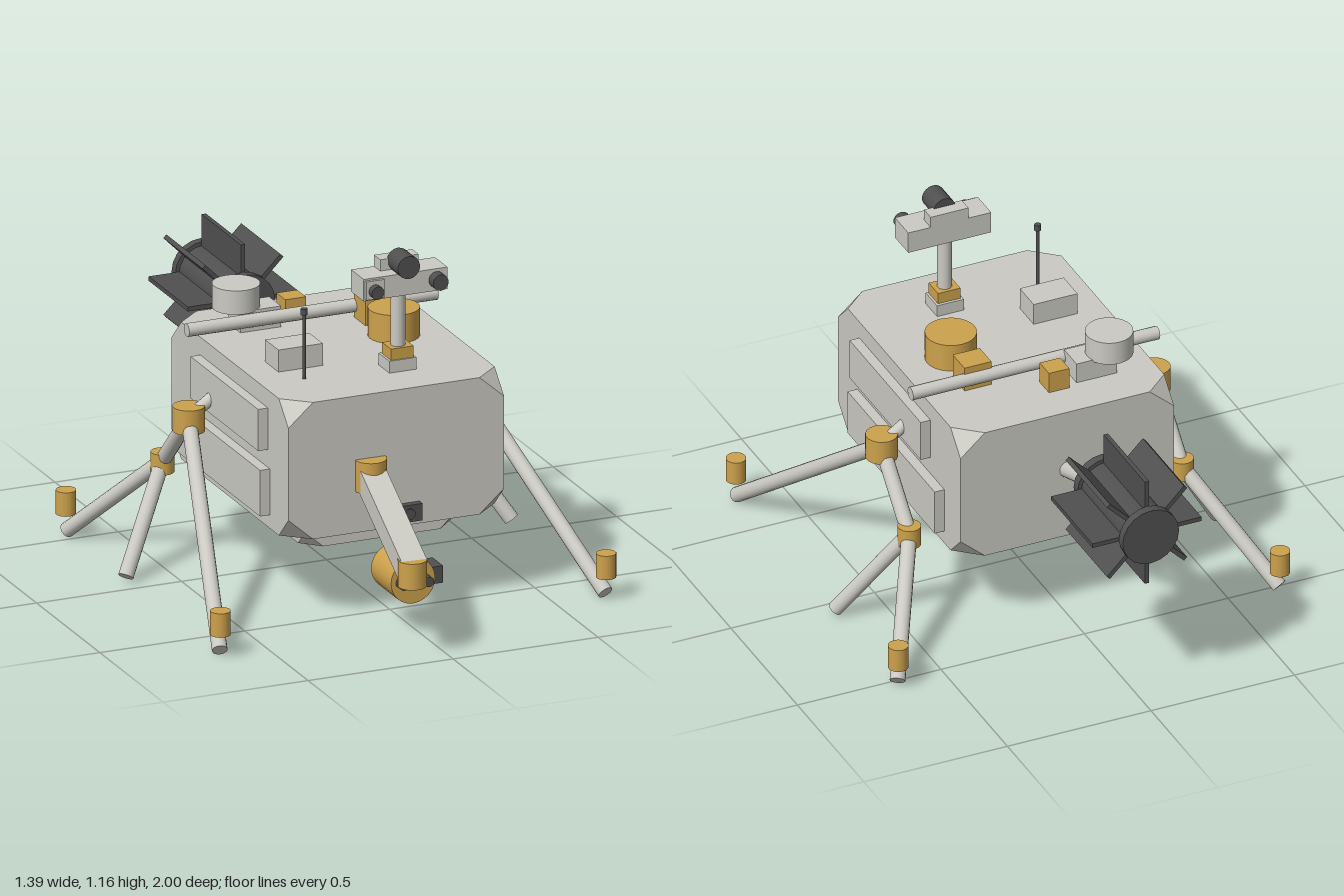
import * as THREE from 'three';
import { ConvexGeometry } from 'three/addons/geometries/ConvexGeometry.js';

const mat = (name, color) => {
  const m = new THREE.MeshStandardMaterial({ color });
  m.name = name;
  return m;
};

export function createModel() {
  const root = new THREE.Group();
  root.name = 'rover';
  const grey = mat('light grey', 0xcbcac3);
  const gold = mat('gold', 0xcda24c);
  const dark = mat('dark grey', 0x505050);

  const add = (name, geo, m, pos = [0, 0, 0]) => {
    const mesh = new THREE.Mesh(geo, m);
    mesh.name = name;
    mesh.position.set(...pos);
    root.add(mesh);
    return mesh;
  };
  // Box given by its extents on each axis
  const box = (name, m, [x0, x1], [y0, y1], [z0, z1]) =>
    add(name, new THREE.BoxGeometry(x1 - x0, y1 - y0, z1 - z0), m,
      [(x0 + x1) / 2, (y0 + y1) / 2, (z0 + z1) / 2]);
  // Cylinder or beam between two points
  const along = (mesh, a, b) => {
    const d = b.clone().sub(a);
    mesh.position.copy(a).add(b).multiplyScalar(0.5);
    mesh.quaternion.setFromUnitVectors(new THREE.Vector3(0, 1, 0), d.normalize());
    return mesh;
  };
  const rod = (name, m, p, q, r, seg = 14) => {
    const a = new THREE.Vector3(...p), b = new THREE.Vector3(...q);
    return along(add(name, new THREE.CylinderGeometry(r, r, a.distanceTo(b), seg), m), a, b);
  };
  const beam = (name, m, p, q, w, h) => {
    const a = new THREE.Vector3(...p), b = new THREE.Vector3(...q);
    const mesh = add(name, new THREE.BoxGeometry(w, h, a.distanceTo(b)), m);
    mesh.position.copy(a).add(b).multiplyScalar(0.5);
    mesh.lookAt(b);
    return mesh;
  };
  // Box with its eight corners cut off
  const cutBox = (name, m, w, h, d, cx, cy, cz, pos) => {
    const pts = [];
    for (const i of [-1, 1]) for (const j of [-1, 1]) for (const k of [-1, 1]) {
      const x = i * w / 2, y = j * h / 2, z = k * d / 2;
      pts.push(new THREE.Vector3(x - i * cx, y, z), new THREE.Vector3(x, y - j * cy, z),
        new THREE.Vector3(x, y, z - k * cz));
    }
    return add(name, new ConvexGeometry(pts), m, pos);
  };

  // Body
  cutBox('body', grey, 0.744, 0.46, 0.922, 0.085, 0.075, 0.075, [0, 0.53, 0.09]);
  cutBox('belly', grey, 0.524, 0.13, 0.69, 0.06, 0.055, 0.06, [0, 0.29, 0.09]);

  // Sides: panels and leg suspension, mirrored
  for (const s of [-1, 1]) {
    const xr = s > 0 ? [0.365, 0.406] : [-0.406, -0.365];
    box('upperSidePanel', grey, xr, [0.56, 0.70], [-0.145, 0.39]);
    box('lowerSidePanel', grey, xr, [0.345, 0.50], [-0.25, 0.405]);

    const hub = [s * 0.475, 0.55, 0], bogie = [s * 0.475, 0.338, -0.208], fx = s * 0.665;
    rod('mainHub', gold, [hub[0], 0.51, 0], [hub[0], 0.593, 0], 0.052, 18);
    rod('rearHub', gold, [bogie[0], 0.302, -0.208], [bogie[0], 0.37, -0.208], 0.038, 18);
    rod('axle', grey, [s * 0.35, 0.64, 0], [s * 0.48, 0.55, 0], 0.02);
    rod('suspensionArm', grey, hub, bogie, 0.025);
    rod('frontLeg', grey, hub, [fx, 0.025, 0.68], 0.025);
    rod('middleLeg', grey, bogie, [fx, 0.025, -0.062], 0.025);
    rod('rearLeg', grey, bogie, [fx, 0.025, -0.53], 0.025);
    for (const z of [0.685, -0.535])
      rod('steeringCap', gold, [fx, 0.08, z], [fx, 0.16, z], 0.033);
  }

  // Rear power unit with eight fins
  const py = 0.655;
  rod('powerCore', dark, [0, py, -0.65], [0, py, -0.98], 0.085, 20);
  rod('powerCapFront', dark, [0, py, -0.63], [0, py, -0.66], 0.098, 20);
  rod('powerCapRear', dark, [0, py, -0.97], [0, py, -1.0], 0.098, 20);
  for (let i = 0; i < 4; i++)
    add('powerFins', new THREE.BoxGeometry(0.38, 0.015, 0.31), dark, [0, py, -0.815])
      .rotation.z = i * Math.PI / 4;
  rod('upperStrut', grey, [0, 0.54, -0.35], [0, 0.645, -0.65], 0.027);
  rod('lowerStrut', grey, [0, 0.425, -0.35], [0, 0.59, -0.65], 0.018);

  // Mast and camera head
  box('mastBase', grey, [0.042, 0.136], [0.755, 0.80], [0.315, 0.40]);
  box('mastCollar', gold, [0.05, 0.128], [0.80, 0.838], [0.325, 0.395]);
  rod('mast', grey, [0.089, 0.83, 0.36], [0.089, 1.03, 0.36], 0.024);
  box('cameraHead', grey, [-0.055, 0.234], [1.022, 1.096], [0.32, 0.42]);
  box('cameraTop', grey, [0.024, 0.156], [1.09, 1.134], [0.32, 0.37]);
  box('smallCameraHousing', grey, [-0.05, 0.012], [1.028, 1.09], [0.41, 0.43]);
  rod('mainCamera', dark, [0.089, 1.124, 0.36], [0.089, 1.124, 0.448], 0.038, 18);
  rod('smallCamera', dark, [-0.02, 1.055, 0.41], [-0.02, 1.055, 0.453], 0.022);
  rod('sideCamera', dark, [0.196, 1.06, 0.41], [0.196, 1.06, 0.455], 0.027);

  // Deck equipment
  rod('crossBar', grey, [-0.43, 0.80, -0.12], [0.43, 0.80, -0.12], 0.022);
  box('deckBox', grey, [-0.275, -0.122], [0.755, 0.834], [0.145, 0.25]);
  box('drumBase', grey, [-0.24, -0.1], [0.755, 0.83], [-0.225, -0.13]);
  rod('drum', grey, [-0.227, 0.825, -0.195], [-0.227, 0.905, -0.195], 0.077, 24);
  rod('goldDrum', gold, [0.197, 0.755, 0.08], [0.197, 0.855, 0.08], 0.083, 24);
  box('goldBox', gold, [0.148, 0.242], [0.755, 0.845], [-0.12, -0.032]);
  box('smallGoldBox', gold, [-0.067, 0.004], [0.755, 0.832], [-0.242, -0.172]);
  rod('antenna', dark, [-0.225, 0.755, 0.338], [-0.225, 0.98, 0.338], 0.006, 8);
  rod('antennaTip', dark, [-0.225, 0.975, 0.338], [-0.225, 0.996, 0.338], 0.011, 10);

  // Hazard cameras on the front
  box('hazardCameraBar', dark, [-0.065, 0.08], [0.318, 0.375], [0.54, 0.575]);
  for (const x of [-0.037, 0.035])
    rod('hazardLens', dark, [x, 0.346, 0.57], [x, 0.346, 0.583], 0.018);

  // Robotic arm
  rod('shoulder', gold, [-0.09, 0.44, 0.555], [-0.09, 0.545, 0.555], 0.052, 18);
  beam('upperArm', grey, [-0.092, 0.485, 0.56], [-0.118, 0.305, 0.955], 0.085, 0.075);
  rod('elbow', gold, [-0.12, 0.254, 0.953], [-0.12, 0.342, 0.953], 0.047, 18);
  beam('forearm', grey, [-0.115, 0.29, 0.95], [-0.035, 0.205, 0.7], 0.06, 0.065);

  // Tool turret
  rod('turret', gold, [-0.03, 0.19, 0.595], [-0.03, 0.19, 0.753], 0.076, 24);
  box('turretTool', dark, [0.035, 0.08], [0.163, 0.22], [0.655, 0.738]);
  for (const x of [-0.073, -0.03, 0.012])
    rod('turretBit', dark, [x, 0.19, 0.74], [x, 0.19, 0.785], 0.017);

  return root;
}
